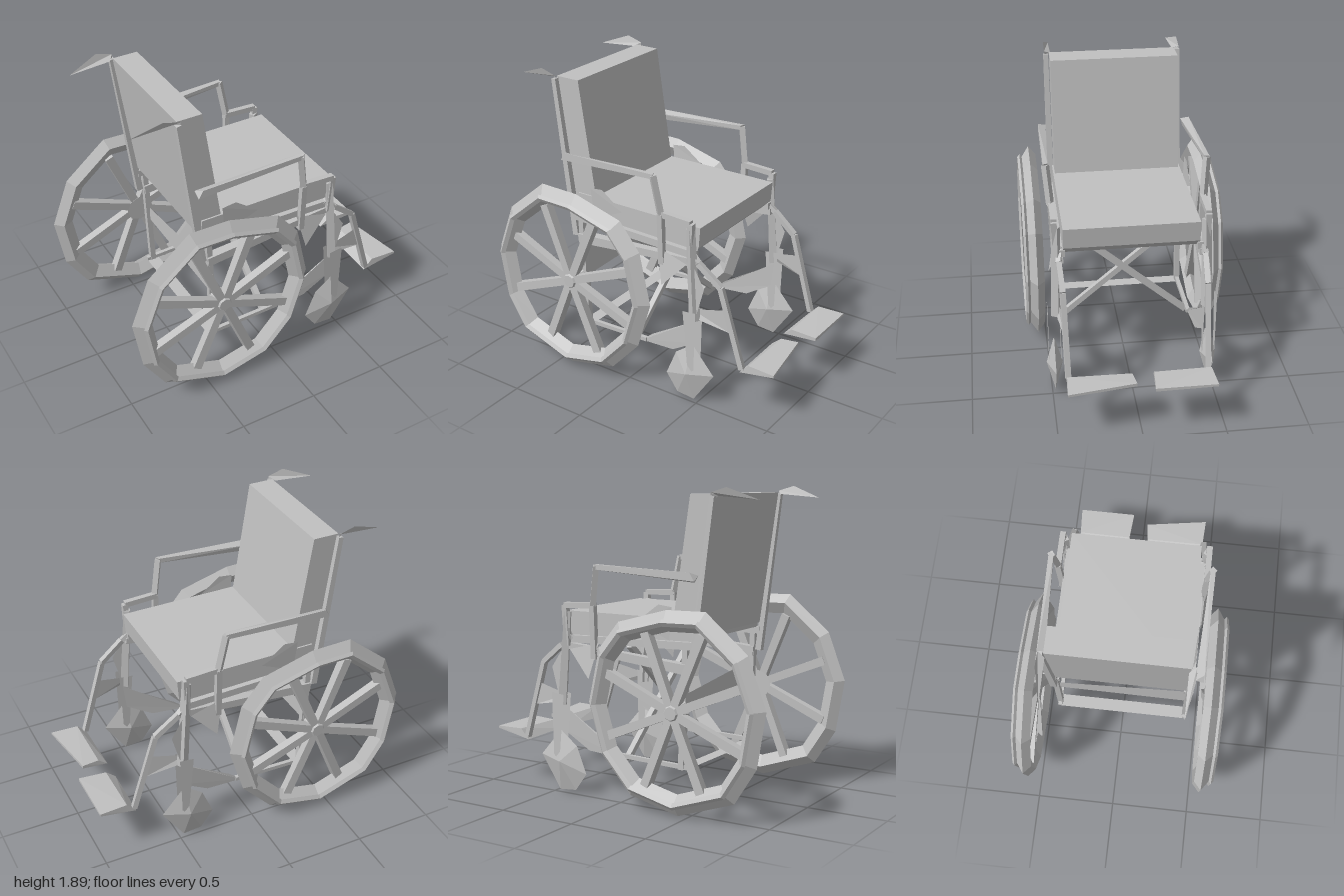
import * as THREE from 'three';
import { ConvexGeometry } from 'three/addons/geometries/ConvexGeometry.js';

const V = (p) => new THREE.Vector3(...p);

// Uneven rim outline around the hub
const RIM = [[0.595, 0], [0.5, -0.31], [0.3, -0.53], [-0.03, -0.607], [-0.4, -0.48], [-0.54, -0.26],
  [-0.595, 0.07], [-0.48, 0.37], [-0.21, 0.595], [0.05, 0.59], [0.38, 0.5], [0.52, 0.33]];

export function createModel() {
  const model = new THREE.Group();
  const grey = new THREE.MeshStandardMaterial({ color: 0xc0c0c0, flatShading: true, side: THREE.DoubleSide });
  grey.name = 'grey';

  function add(name, geometry, parent = model) {
    const mesh = new THREE.Mesh(geometry, grey);
    mesh.name = name;
    parent.add(mesh);
    return mesh;
  }

  // Square bar between two points, tapering from width w0 to w1
  function bar(name, a, b, w0 = 0.04, w1 = w0, parent = model) {
    const from = V(a), to = V(b);
    const geo = new THREE.CylinderGeometry(w1 * 0.707, w0 * 0.707, from.distanceTo(to), 4);
    geo.rotateY(Math.PI / 4);
    const mesh = add(name, geo, parent);
    mesh.position.copy(from).add(to).multiplyScalar(0.5);
    mesh.quaternion.setFromUnitVectors(new THREE.Vector3(0, 1, 0), to.sub(from).normalize());
    return mesh;
  }

  // Bars through a list of points
  function path(name, points, w, parent) {
    for (let i = 1; i < points.length; i++) bar(name, points[i - 1], points[i], w, w, parent);
  }

  // Triangles from a list of corners
  function faces(name, corners, parent) {
    const geo = new THREE.BufferGeometry();
    geo.setAttribute('position', new THREE.Float32BufferAttribute(corners.flat(), 3));
    geo.computeVertexNormals();
    return add(name, geo, parent);
  }

  // Thin flat sheet given by its corners
  function sheet(name, points, parent = model) {
    const corners = [];
    for (let i = 2; i < points.length; i++) corners.push(points[0], points[i - 1], points[i]);
    return faces(name, corners, parent);
  }

  // Faceted ring swept along the rim outline, with a four-sided section [scale, z]
  function ring(name, section, s, parent) {
    const corners = [];
    const at = (i, j) => {
      const [x, y] = RIM[i % RIM.length], [k, z] = section[j % section.length];
      return [x * k, y * k, z * s];
    };
    for (let i = 0; i < RIM.length; i++) {
      for (let j = 0; j < section.length; j++) {
        const quad = [at(i, j), at(i, j + 1), at(i + 1, j + 1), at(i + 1, j)];
        if (s < 0) quad.reverse();
        corners.push(quad[0], quad[1], quad[2], quad[0], quad[2], quad[3]);
      }
    }
    return faces(name, corners, parent);
  }

  const hull = (name, points, parent) => add(name, new ConvexGeometry(points.map(V)), parent);
  const acrossZ = (outline, z0, z1) => outline.flatMap(([x, y]) => [[x, y, z0], [x, y, z1]]);

  // Cushions
  hull('seatCushion', acrossZ([[-0.44, 1.13], [0.46, 1.13], [0.45, 1.0], [0.4, 0.95], [-0.44, 1.0]], -0.41, 0.41));
  hull('backCushion', acrossZ([[-0.58, 1.85], [-0.42, 1.85], [-0.31, 1.13], [-0.46, 1.03]], -0.4, 0.4));

  // Folding cross brace, axle plate and lower tie
  for (const s of [1, -1]) bar('crossBrace', [0.01 * s, 0.95, 0.41 * s], [0.01 * s, 0.25, -0.41 * s], 0.035);
  sheet('axlePlate', [[-0.39, 0.57, 0.44], [-0.39, 0.78, 0.44], [-0.39, 0.68, -0.44], [-0.39, 0.59, -0.44]]);
  sheet('lowerTie', [[-0.42, 0.245, 0.42], [-0.34, 0.245, 0.42], [-0.34, 0.245, -0.42], [-0.42, 0.245, -0.42]]);

  for (const s of [1, -1]) {
    const side = new THREE.Group();
    side.name = s > 0 ? 'rightSide' : 'leftSide';
    model.add(side);
    const P = (x, y, z) => [x, y, z * s];

    // Drive wheel: faceted tyre, hand rim and eight spokes joined at a conical hub
    const wheel = new THREE.Group();
    wheel.name = 'driveWheel';
    wheel.position.set(s > 0 ? -0.39 : -0.405, 0.607, 0.57 * s);
    side.add(wheel);
    ring('tyre', [[1, -0.015], [0.91, -0.06], [0.79, -0.02], [0.88, 0.035]], s, wheel);
    ring('handRim', [[0.92, 0.045], [0.89, 0.03], [0.85, 0.045], [0.89, 0.06]], s, wheel);
    for (let i = 0; i < 8; i++) {
      const a = (i + 0.5) * Math.PI / 4, c = Math.cos(a), d = Math.sin(a);
      bar('spoke', [0, 0, -0.01 * s], [0.5 * c, 0.5 * d, -0.02 * s], 0.05, 0.055, wheel);
    }
    const hub = add('hub', new THREE.CylinderGeometry(s > 0 ? 0.04 : 0.09, s > 0 ? 0.09 : 0.04, 0.07, 8), wheel);
    hub.rotation.x = Math.PI / 2;
    hub.position.z = -0.01 * s;

    // Back post and push handle
    bar('backPost', P(-0.45, 0.85, 0.42), P(-0.58, 1.84, 0.42), 0.04, 0.03, side);
    sheet('pushHandle', [P(-0.86, 1.82, 0.39), P(-0.67, 1.89, 0.43), P(-0.57, 1.86, 0.43), P(-0.6, 1.84, 0.39)], side);
    sheet('pushHandle', [P(-0.57, 1.86, 0.43), P(-0.6, 1.84, 0.4), P(-0.56, 1.77, 0.42)], side);

    // Armrest, wide at the rear, with its posts
    hull('armrest', [P(-0.5, 1.39, 0.44), P(-0.5, 1.36, 0.49), P(-0.47, 1.41, 0.49), P(-0.48, 1.35, 0.45),
      P(0.18, 1.43, 0.47), P(0.19, 1.43, 0.5), P(0.17, 1.4, 0.47), P(0.18, 1.4, 0.5)], side);
    path('armrestPost', [P(0.18, 1.42, 0.485), P(0.22, 1.18, 0.465), P(0.22, 0.85, 0.45)], 0.035, side);
    path('armrestPost', [P(0.21, 1.18, 0.46), P(0.43, 1.17, 0.46), P(0.42, 0.92, 0.45)], 0.035, side);
    sheet('sideGusset', [P(0.19, 0.95, 0.45), P(0.4, 0.9, 0.46), P(0.24, 0.73, 0.49)], side);
    sheet('sideSkirt', [P(-0.32, 1.2, 0.44), P(-0.23, 1.21, 0.44), P(-0.08, 1.1, 0.44), P(-0.3, 1.0, 0.43)], side);

    // Side frame
    bar('seatRail', P(-0.46, 0.98, 0.42), P(0.44, 0.96, 0.42), 0.045, 0.045, side);
    bar('middleRail', P(-0.42, 0.84, 0.42), P(0.45, 0.92, 0.43), 0.06, 0.04, side);
    bar('rearPost', P(-0.38, 0.24, 0.42), P(-0.41, 1.0, 0.42), 0.035, 0.035, side);
    bar('lowerRail', P(-0.42, 0.255, 0.42), P(0.08, 0.27, 0.42), 0.025, 0.025, side);
    sheet('lowerBend', [P(0.04, 0.25, 0.42), P(0.12, 0.32, 0.42), P(0.36, 0.47, 0.43), P(0.48, 0.55, 0.44),
      P(0.46, 0.38, 0.44), P(0.28, 0.27, 0.43)], side);

    // Caster with its pointed fork
    bar('casterStem', P(0.42, 1.13, 0.45), P(0.46, 0.55, 0.46), 0.04, 0.05, side);
    sheet('casterFork', [P(0.42, 0.95, 0.46), P(0.53, 0.78, 0.47), P(0.48, 0.6, 0.47), P(0.42, 0.72, 0.46)], side);
    for (const z of [0.44, 0.515]) {
      sheet('casterFork', [P(0.41, 0.62, z), P(0.5, 0.63, z), P(0.49, 0.24, z), P(0.45, 0.19, z)], side);
    }
    hull('casterWheel', [[0.46, 0.39], [0.61, 0.22], [0.47, 0.01], [0.35, 0.02], [0.27, 0.13], [0.34, 0.3]]
      .map(([x, y]) => P(x, y, 0.48)).concat([P(0.44, 0.2, 0.43), P(0.44, 0.2, 0.53)]), side);
    sheet('casterBracket', [P(0.43, 0.61, 0.45), P(0.65, 0.66, 0.43), P(0.69, 0.52, 0.43), P(0.48, 0.56, 0.46)], side);

    // Leg hanger and footplate
    path('legHanger', [P(0.4, 0.98, 0.43), P(0.47, 0.92, 0.44), P(0.62, 0.8, 0.43), P(0.77, 0.3, 0.42)], 0.032, side);
    const inner = s > 0 ? 0.03 : 0.07, tip = s > 0 ? 0.93 : 0.995;
    hull('footplate', [P(0.76, 0.28, 0.43), P(0.82, 0.345, 0.43), P(0.995, 0.345, 0.44), P(0.995, 0.33, 0.44),
      P(0.76, 0.29, inner + 0.02), P(0.82, 0.34, inner + 0.015), P(tip, 0.345, inner), P(tip, 0.325, inner)], side);
  }
  return model;
}
